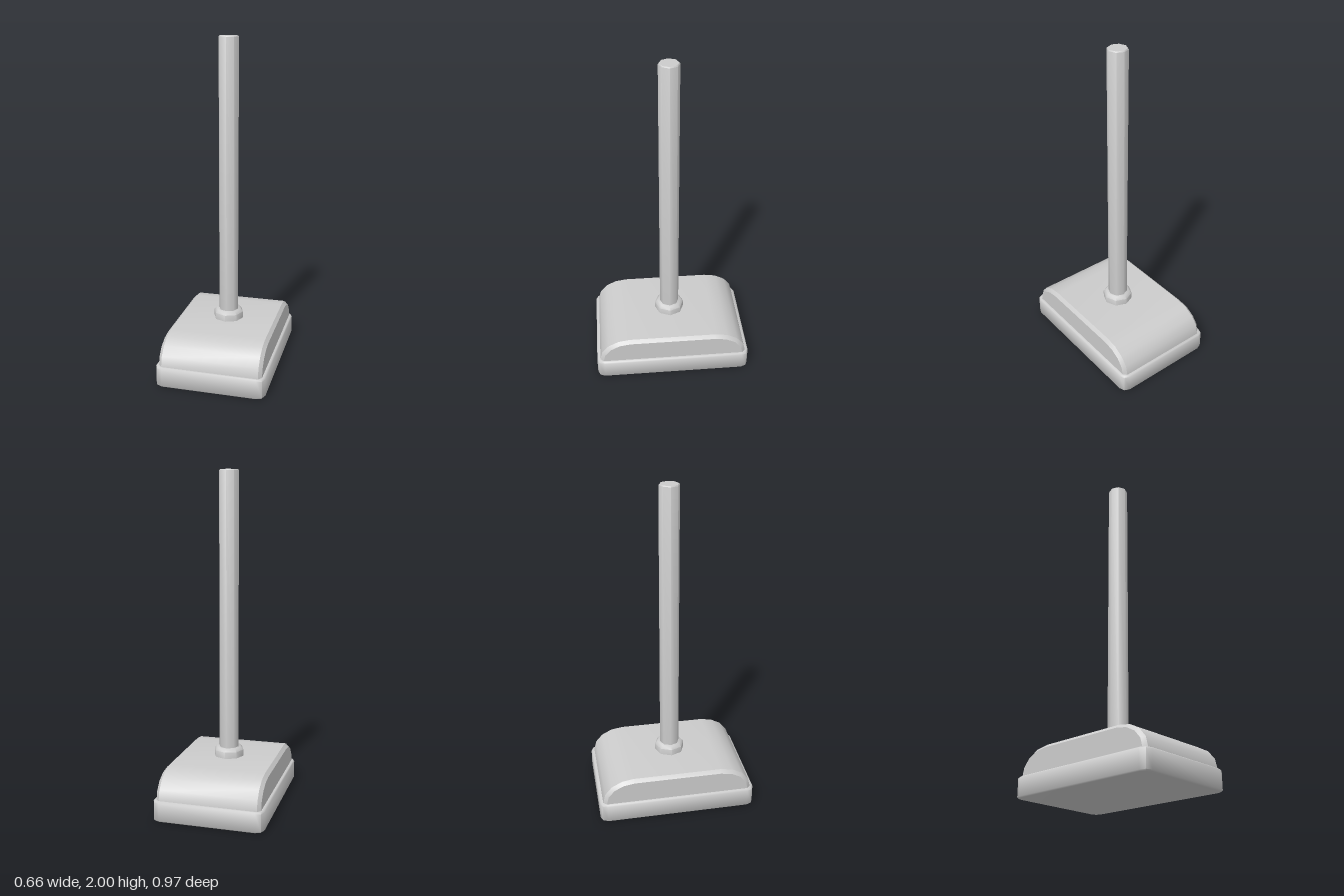
import * as THREE from 'three';
import { toCreasedNormals } from 'three/addons/utils/BufferGeometryUtils.js';

const grey = new THREE.MeshStandardMaterial({ color: 0xcccccc });
grey.name = 'grey';

function part(name, geometry, crease = 0.9) {
  const mesh = new THREE.Mesh(toCreasedNormals(geometry, crease), grey);
  mesh.name = name;
  return mesh;
}

// Points on four rounded corners, counter-clockwise from the right
function cornerPoints(corners, rx, ry, steps) {
  const points = [];
  corners.forEach(([cx, cy], i) => {
    for (let s = 0; s <= steps; s++) {
      const a = (i + s / steps) * Math.PI / 2;
      points.push(new THREE.Vector2(cx + rx * Math.cos(a), cy + ry * Math.sin(a)));
    }
  });
  return points;
}

// Extrusion whose bevel stays inside the given outline and depth
function bevelled(points, depth, bevel) {
  return new THREE.ExtrudeGeometry(new THREE.Shape(points), {
    depth: depth - 2 * bevel, bevelEnabled: true, bevelSegments: 1,
    bevelSize: bevel, bevelThickness: bevel, bevelOffset: -bevel,
  }).translate(0, 0, bevel);
}

// Eight-sided turned part with corners on the axes
function turned(profile) {
  return new THREE.LatheGeometry(profile.map(([r, y]) => new THREE.Vector2(r, y)), 8);
}

export function createModel() {
  const model = new THREE.Group();
  model.name = 'plungerTool';

  // Rounded rectangular base slab
  const r = 0.046, x = 0.33 - r, z = 0.485 - r;
  const outline = cornerPoints([[x, z], [-x, z], [-x, -z], [x, -z]], r, r, 2);
  model.add(part('base', bevelled(outline, 0.12, 0.007).rotateX(-Math.PI / 2)));

  // Arched head, rounded toward front and back, chamfered at the sides
  const arch = cornerPoints([[0.27, 0.12], [-0.27, 0.12]], 0.195, 0.155, 4);
  arch.push(new THREE.Vector2(-0.465, 0.08), new THREE.Vector2(0.465, 0.08));
  const head = bevelled(arch, 0.62, 0.02).translate(0, 0, -0.31).rotateY(Math.PI / 2);
  model.add(part('head', head, 0.6));

  // Collar where the pole meets the head
  model.add(part('collar', turned([
    [0, 0.26], [0.092, 0.26], [0.092, 0.315], [0.077, 0.332], [0, 0.332],
  ])));

  // Long pole with a slightly eased top edge
  model.add(part('pole', turned([
    [0, 0.3], [0.06, 0.3], [0.06, 1.994], [0.055, 2], [0, 2],
  ])));

  return model;
}
